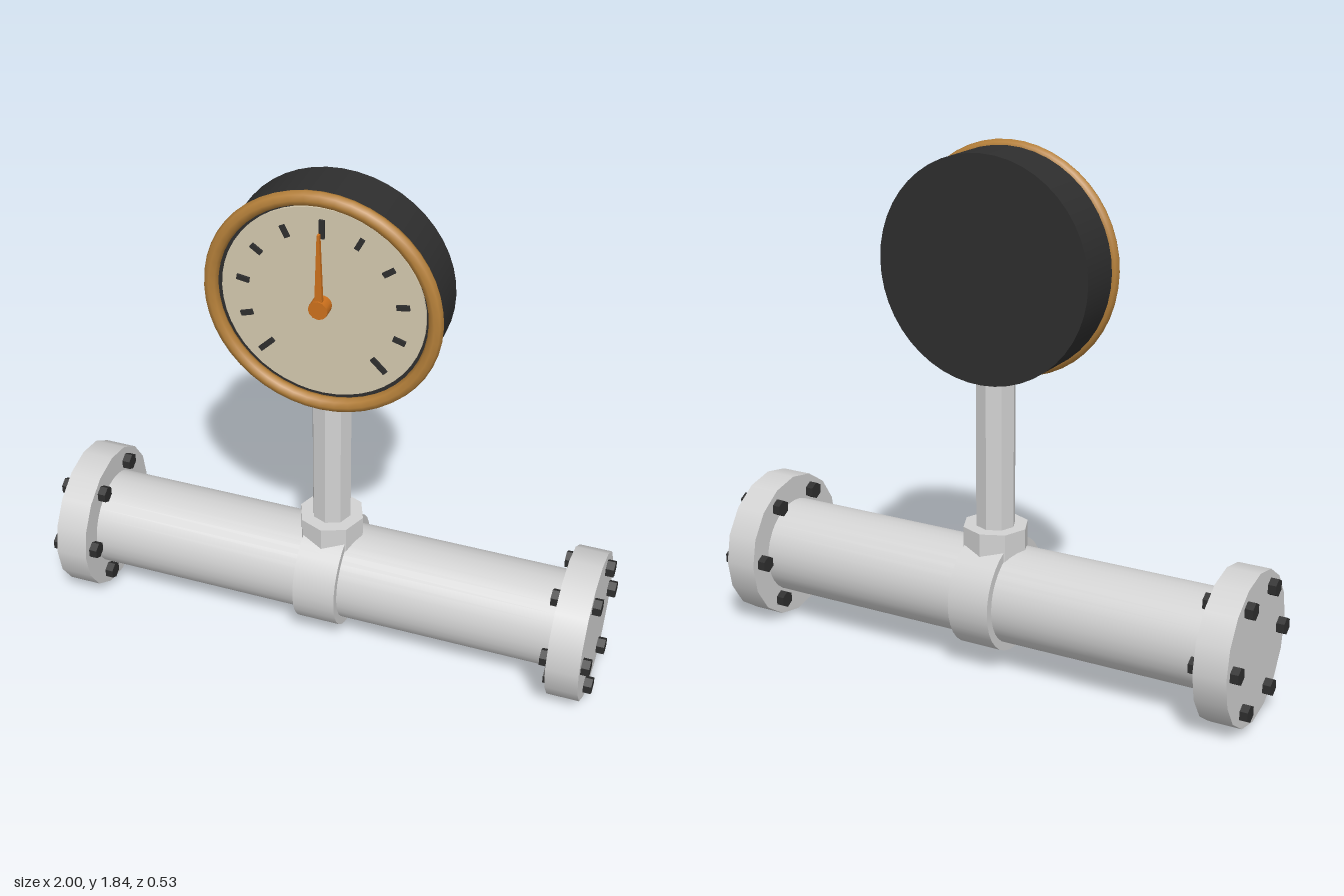
import * as THREE from 'three';

const steel = new THREE.MeshStandardMaterial({ name: 'steel', color: 0xd2d2d2 });
const black = new THREE.MeshStandardMaterial({ name: 'black', color: 0x2e2e2e });
const brass = new THREE.MeshStandardMaterial({ name: 'brass', color: 0xb5803a });
const cream = new THREE.MeshStandardMaterial({ name: 'cream', color: 0xd3c8ae });
const orange = new THREE.MeshStandardMaterial({ name: 'orange', color: 0xcc701c });

const PIPE_Y = 0.267;
const DIAL_Y = 1.435;

function add(parent, name, geometry, material, x = 0, y = 0, z = 0) {
  const mesh = new THREE.Mesh(geometry, material);
  mesh.name = name;
  mesh.position.set(x, y, z);
  parent.add(mesh);
  return mesh;
}

// Cylinders lying along x or facing z
const alongX = (r, length, sides) => new THREE.CylinderGeometry(r, r, length, sides).rotateZ(Math.PI / 2);
const alongZ = (r, length, sides) => new THREE.CylinderGeometry(r, r, length, sides).rotateX(Math.PI / 2);

// Sharp-edged prism
function prism(r, length, sides) {
  const g = new THREE.CylinderGeometry(r, r, length, sides).toNonIndexed();
  g.computeVertexNormals();
  return g;
}

function createPipe() {
  const pipe = new THREE.Group();
  pipe.name = 'pipe';
  pipe.position.y = PIPE_Y;
  add(pipe, 'pipeTube', alongX(0.173, 1.76, 32), steel);
  add(pipe, 'collar', alongX(0.203, 0.154, 32), steel);

  // Flanges, each with six through bolts
  for (const side of [1, -1]) {
    const flange = new THREE.Group();
    flange.name = side > 0 ? 'leftFlange' : 'rightFlange';
    flange.position.x = side * 0.914;
    pipe.add(flange);
    add(flange, 'flangeDisc', alongX(0.266, 0.115, 16), steel);
    for (let i = 0; i < 6; i++) {
      const a = i * Math.PI / 3;
      const bolt = prism(0.031, 0.172, 6).rotateY(Math.PI / 2).rotateZ(Math.PI / 2);
      add(flange, 'bolt', bolt, black, 0, Math.sin(a) * 0.21, Math.cos(a) * 0.21);
    }
  }
  return pipe;
}

function createGauge() {
  const gauge = new THREE.Group();
  gauge.name = 'gauge';
  gauge.position.y = DIAL_Y;
  add(gauge, 'housing', alongZ(0.388, 0.18, 48), black, 0, 0, -0.01);
  add(gauge, 'bezel', new THREE.TorusGeometry(0.38, 0.025, 8, 48), brass, 0, 0, 0.097);
  add(gauge, 'dialFace', alongZ(0.345, 0.02, 48), cream, 0, 0, 0.08);

  // Eleven scale marks over 270 degrees
  for (let i = 0; i <= 10; i++) {
    const length = i % 5 === 0 ? 0.065 : 0.043;
    const mark = new THREE.BoxGeometry(0.018, length, 0.008);
    mark.translate(0, 0.273, 0).rotateZ(THREE.MathUtils.degToRad(135 - 27 * i));
    add(gauge, 'scaleMark', mark, black, 0, 0, 0.094);
  }

  // Tapered pointer and its hub
  const outline = new THREE.Shape([
    new THREE.Vector2(-0.014, 0),
    new THREE.Vector2(0.014, 0),
    new THREE.Vector2(0.004, 0.27),
    new THREE.Vector2(-0.004, 0.27),
  ]);
  const needle = new THREE.ExtrudeGeometry(outline, { depth: 0.014, bevelEnabled: false });
  add(gauge, 'needle', needle, orange, 0, 0, 0.117);
  add(gauge, 'needleHub', alongZ(0.033, 0.047, 12), orange, 0, 0, 0.1125);
  return gauge;
}

export function createModel() {
  const model = new THREE.Group();
  model.name = 'pressureGaugeOnPipe';
  model.add(createPipe());

  // Eight-sided stem and nut joining the pipe and the gauge
  add(model, 'stemNut', prism(0.116, 0.1, 8), steel, 0, 0.467, 0);
  add(model, 'stem', prism(0.07, 0.62, 8), steel, 0, 0.79, 0);

  model.add(createGauge());
  return model;
}
